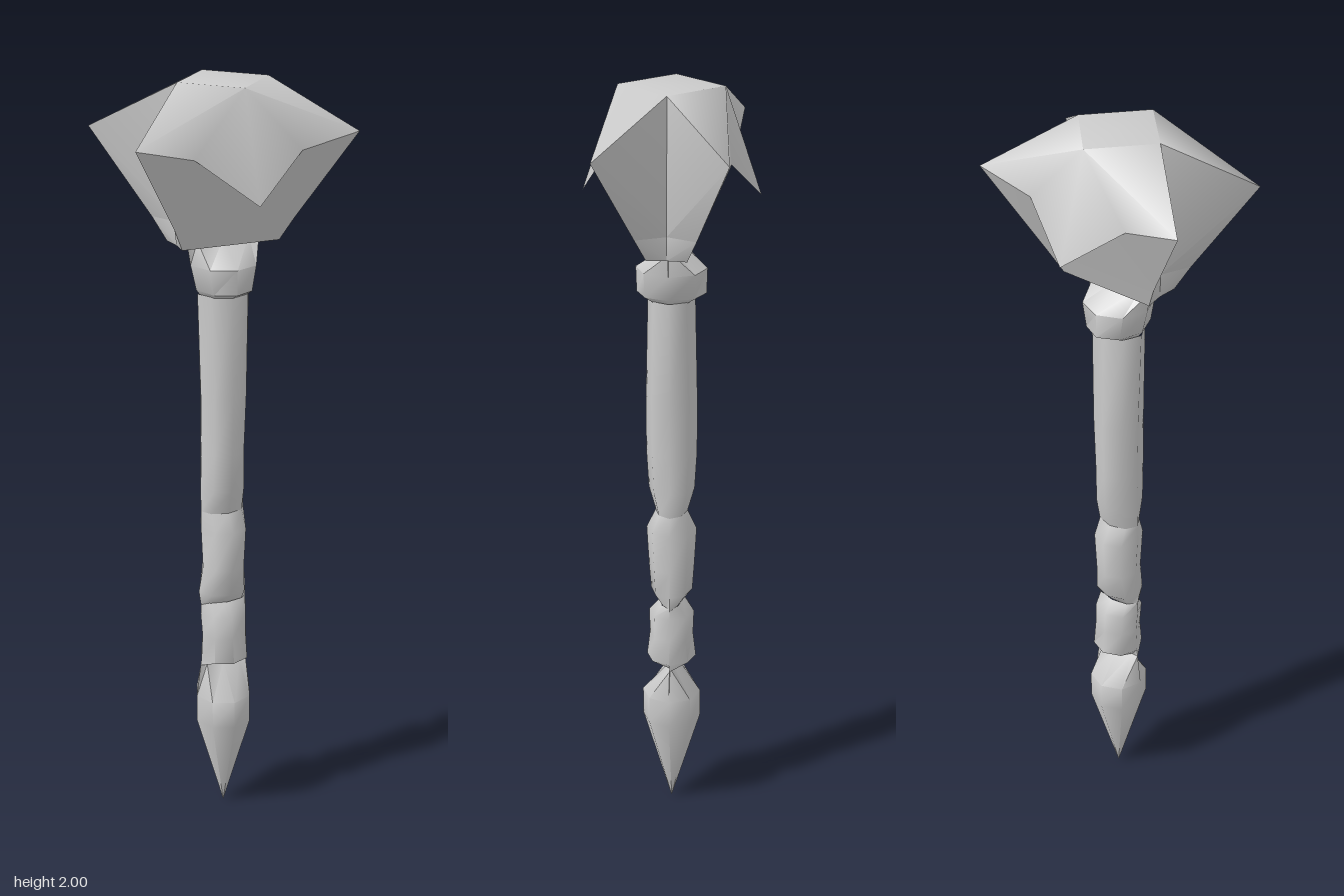
import * as THREE from 'three';
import { toCreasedNormals } from 'three/addons/utils/BufferGeometryUtils.js';

const stone = new THREE.MeshStandardMaterial({ color: 0xcccccc });
stone.name = 'grey stone';

function addMesh(group, name, positions, crease) {
  let geo = new THREE.BufferGeometry();
  geo.setAttribute('position', new THREE.Float32BufferAttribute(positions, 3));
  geo = toCreasedNormals(geo, crease);
  const mesh = new THREE.Mesh(geo, stone);
  mesh.name = name;
  group.add(mesh);
}

// Joins elliptical rings [y, x radius, z radius, x offset], listed bottom to top
function loft(rings, sides = 8) {
  const out = [];
  const point = ([y, rx, rz, dx = 0], i) => {
    const a = (i / sides) * Math.PI * 2;
    return new THREE.Vector3(dx + Math.cos(a) * rx, y, Math.sin(a) * rz);
  };
  const tri = (a, b, c) => {
    const area = b.clone().sub(a).cross(c.clone().sub(a)).length();
    if (area > 1e-7) out.push(...a, ...b, ...c);
  };
  for (let r = 0; r < rings.length - 1; r++) {
    for (let i = 0; i < sides; i++) {
      const a = point(rings[r], i), b = point(rings[r], i + 1);
      const c = point(rings[r + 1], i), d = point(rings[r + 1], i + 1);
      tri(a, c, b);
      tri(b, c, d);
    }
  }
  return out;
}

// One quarter of the head, mirrored into the other three
function headPart(faces) {
  const P = {
    T: [0, 2, 0], A: [0.12, 2, 0], B: [0, 2, 0.13],       // flat diamond top
    C: [0.29, 1.88, 0.16],                                // corner spike
    D: [0.14, 1.845, 0.155], E: [0, 1.735, 0.22],         // hanging front spike
    G: [0, 1.86, 0.16],                                   // root under the spike
    H: [0.16, 1.66, 0.075], K: [0, 1.66, 0.075], V: [0.125, 1.66, 0],
    I: [0.13, 1.6, 0.05], L: [0, 1.6, 0.05], W: [0.125, 1.6, 0], O: [0, 1.6, 0]
  };
  const out = [];
  for (const sx of [1, -1]) for (const sz of [1, -1]) {
    for (const face of faces) {
      const names = sx * sz > 0 ? [...face] : [...face].reverse();
      for (const n of names) out.push(P[n][0] * sx, P[n][1], P[n][2] * sz);
    }
  }
  return out;
}

export function createModel() {
  const model = new THREE.Group();
  model.name = 'mace';

  // Head: spiked crown over a tapering body with notched sides
  const head = new THREE.Group();
  head.name = 'head';
  addMesh(head, 'crown', headPart(['TBA', 'ABC', 'BDC', 'BED']), 1.2);
  addMesh(head, 'spikeUndersides', headPart(['EGD']), 0.6);
  addMesh(head, 'headBody', headPart(['GKH', 'GHD', 'DHC', 'ACV', 'CHV']), 0.9);
  addMesh(head, 'headBase', headPart(['KLI', 'KIH', 'HIW', 'HWV', 'OWI', 'OIL']), 0.6);
  model.add(head);

  // Handle: wedge-topped collar, long shaft and wrapped grip
  const handle = new THREE.Group();
  handle.name = 'handle';
  addMesh(handle, 'collar', loft([
    [1.465, 0.062, 0.058], [1.48, 0.073, 0.088], [1.545, 0.088, 0.09], [1.605, 0.098, 0]
  ]), 0.9);
  addMesh(handle, 'shaft', loft([
    [0.88, 0.06, 0.042, -0.003], [0.945, 0.061, 0.06, -0.003], [1.05, 0.058, 0.066, -0.003],
    [1.2, 0.062, 0.066], [1.47, 0.07, 0.06]
  ]), 1.2);
  addMesh(handle, 'upperGrip', loft([
    [0.61, 0.064, 0.018], [0.65, 0.067, 0.055, -0.003], [0.72, 0.058, 0.06],
    [0.83, 0.063, 0.066], [0.88, 0.06, 0.042, -0.003]
  ]), 1.2);
  addMesh(handle, 'lowerGrip', loft([
    [0.43, 0.066, 0], [0.452, 0.066, 0.066, 0.003], [0.52, 0.063, 0.058, 0.003],
    [0.585, 0.065, 0.06], [0.62, 0.064, 0.03]
  ]), 1.2);
  model.add(handle);

  // Pointed foot
  addMesh(model, 'pointedFoot', loft([
    [0, 0, 0], [0.265, 0.077, 0.078], [0.34, 0.077, 0.078], [0.43, 0.066, 0]
  ]), 0.9);

  return model;
}
